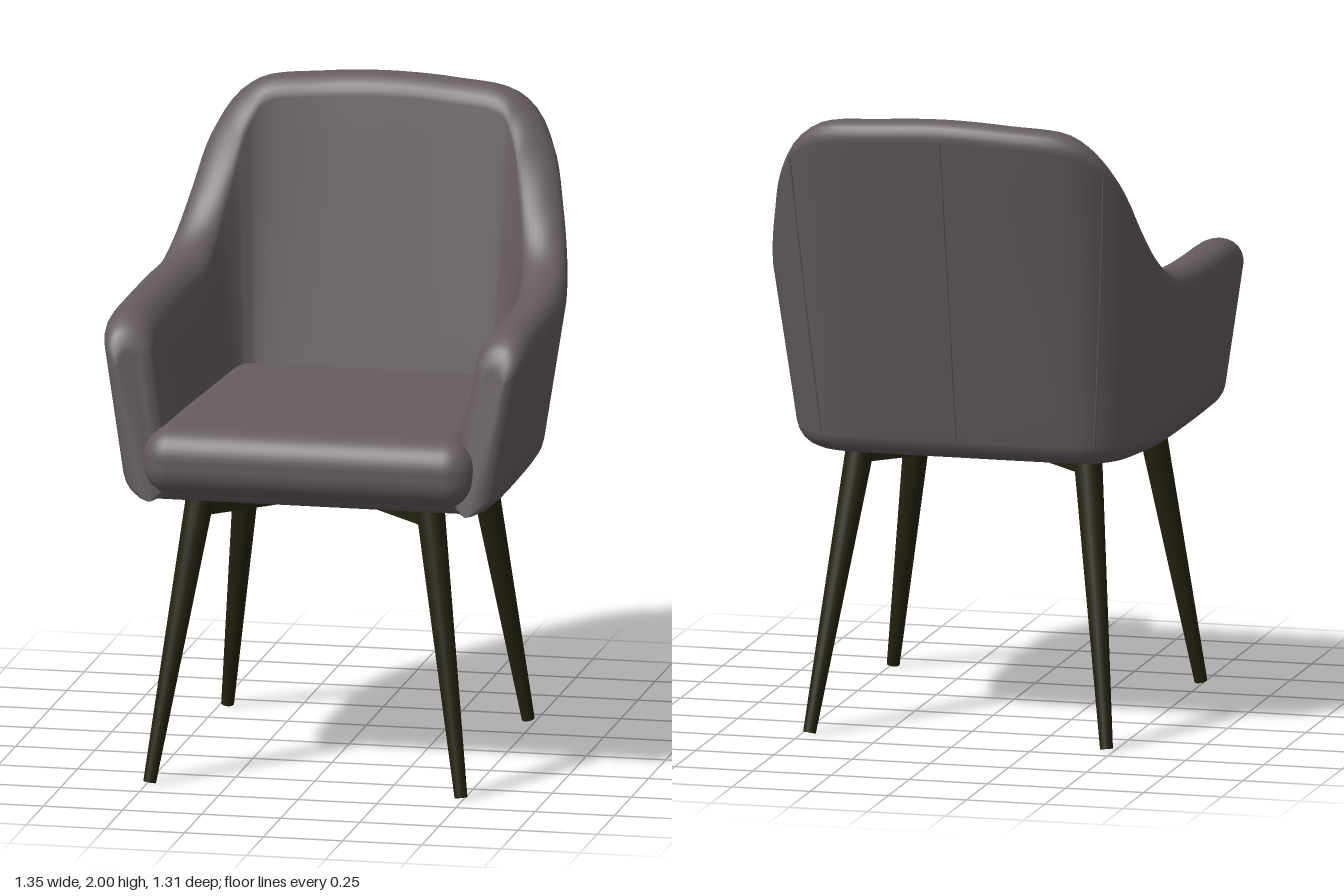
import * as THREE from 'three';
import { RoundedBoxGeometry } from 'three/addons/geometries/RoundedBoxGeometry.js';

const fabric = new THREE.MeshStandardMaterial({ color: 0x655c5f });
fabric.name = 'warm grey fabric';
const legPaint = new THREE.MeshStandardMaterial({ color: 0x24230f });
legPaint.name = 'dark leg paint';

// Wrap-around shell, from the left arm front to the middle of the back:
// [bottom x, bottom z, top x, top y, top z, half thickness]
const half = [
  [0.500, 0.615, 0.585, 1.30, 0.565, 0.012],
  [0.502, 0.600, 0.590, 1.37, 0.550, 0.050],
  [0.506, 0.560, 0.597, 1.425, 0.510, 0.074],
  [0.510, 0.460, 0.605, 1.455, 0.420, 0.080],
  [0.510, 0.200, 0.605, 1.46, 0.200, 0.080],
  [0.505, -0.05, 0.598, 1.467, -0.05, 0.078],
  [0.490, -0.18, 0.580, 1.485, -0.20, 0.075],
  [0.475, -0.26, 0.560, 1.56, -0.31, 0.070],
  [0.455, -0.31, 0.530, 1.69, -0.40, 0.068],
  [0.420, -0.345, 0.485, 1.86, -0.49, 0.066],
  [0.360, -0.365, 0.400, 1.965, -0.56, 0.064],
  [0.200, -0.37, 0.210, 1.99, -0.588, 0.064],
  [0.000, -0.37, 0.000, 2.00, -0.592, 0.064],
];
const stations = [
  ...half,
  ...half.slice(0, -1).reverse().map(([bx, bz, tx, ...rest]) => [-bx, bz, -tx, ...rest]),
];
const spline = (pick) => new THREE.CatmullRomCurve3(
  stations.map((s) => new THREE.Vector3(...pick(s))), false, 'catmullrom', 0.5);
const bottomPath = spline(([bx, bz, , , , h]) => [bx, h, bz]); // y carries the half thickness
const topPath = spline(([, , tx, ty, tz]) => [tx, ty, tz]);
const BOTTOM = 0.89;

// Point on the shell: w across the thickness, s up the rounded edge, k from low to high
function shellPoint(t, w, s, k) {
  const b = bottomPath.getPoint(t), top = topPath.getPoint(t), h = b.y;
  const y = THREE.MathUtils.lerp(BOTTOM + h, top.y - h, k) + h * s;
  const u = (y - BOTTOM) / (top.y - BOTTOM);
  const e = 0.008, t0 = Math.max(0, t - e), t1 = Math.min(1, t + e);
  const d = bottomPath.getPoint(t1).sub(bottomPath.getPoint(t0))
    .lerp(topPath.getPoint(t1).sub(topPath.getPoint(t0)), u).setY(0).normalize();
  const p = b.clone().lerp(top, u);
  return new THREE.Vector3(p.x - d.z * w * h, y, p.z + d.x * w * h);
}

function shellGeometry() {
  // Section loop: outer side up, over the top, inner side down, under the bottom
  const section = [];
  const arc = (from, to, n, k) => {
    for (let i = 0; i <= n; i++) {
      const a = THREE.MathUtils.degToRad(from + (to - from) * i / n);
      section.push([Math.cos(a), Math.sin(a), k]);
    }
  };
  arc(-90, 0, 5, 0);
  for (let i = 1; i < 7; i++) section.push([1, 0, i / 7]);
  arc(0, 180, 12, 1);
  for (let i = 6; i > 0; i--) section.push([-1, 0, i / 7]);
  arc(180, 252, 4, 0);

  const rings = 120, n = section.length, pos = [], index = [];
  for (let i = 0; i <= rings; i++)
    for (const [w, s, k] of section) pos.push(...shellPoint(i / rings, w, s, k).toArray());
  for (let i = 0; i < rings; i++)
    for (let j = 0; j < n; j++) {
      const a = i * n + j, b = i * n + (j + 1) % n;
      index.push(a, a + n, b, b, a + n, b + n);
    }
  // Close both arm fronts
  for (const [ring, flip] of [[0, false], [rings, true]]) {
    const c = pos.length / 3;
    pos.push(...shellPoint(ring / rings, 0, 0, 0.5).toArray());
    for (let j = 0; j < n; j++) {
      const a = ring * n + j, b = ring * n + (j + 1) % n;
      index.push(c, flip ? b : a, flip ? a : b);
    }
  }
  const g = new THREE.BufferGeometry();
  g.setAttribute('position', new THREE.Float32BufferAttribute(pos, 3));
  g.setIndex(index);
  g.computeVertexNormals();
  return g;
}

// Rounded slab that narrows towards the back
function taperedSlab(frontHalf, backHalf, y0, y1, zBack, zFront, r) {
  const d = zFront - zBack;
  const g = new RoundedBoxGeometry(frontHalf * 2, y1 - y0, d, 6, r);
  const p = g.attributes.position;
  for (let i = 0; i < p.count; i++) {
    const f = p.getZ(i) / d + 0.5;
    p.setX(i, p.getX(i) * THREE.MathUtils.lerp(backHalf / frontHalf, 1, f));
  }
  g.translate(0, (y0 + y1) / 2, (zBack + zFront) / 2);
  return g;
}

// Align a y-axis mesh between two points
function between(mesh, a, b) {
  mesh.position.copy(a).add(b).multiplyScalar(0.5);
  mesh.quaternion.setFromUnitVectors(new THREE.Vector3(0, 1, 0), b.clone().sub(a).normalize());
  return mesh;
}

export function createModel() {
  const model = new THREE.Group();
  model.name = 'armchair';
  const add = (name, geometry, material) => {
    const mesh = new THREE.Mesh(geometry, material);
    mesh.name = name;
    model.add(mesh);
    return mesh;
  };

  // Upholstery
  add('backAndArms', shellGeometry(), fabric);
  add('seatBase', taperedSlab(0.54, 0.41, 0.885, 1.03, -0.38, 0.6, 0.06), fabric);
  add('seatCushion', taperedSlab(0.53, 0.45, 0.91, 1.125, -0.37, 0.66, 0.095), fabric);

  // Raised seams on the outside of the back
  for (const t of [9.4 / 24, 0.5, 14.6 / 24]) {
    const pts = [];
    for (let i = 0; i <= 10; i++) pts.push(shellPoint(t, 1, 0, i / 10));
    add('backSeam', new THREE.TubeGeometry(new THREE.CatmullRomCurve3(pts), 24, 0.004, 5), fabric);
  }

  // Splayed tapering legs
  for (const side of [1, -1])
    for (const [name, footX, footZ, topZ] of [['frontLeg', 0.492, 0.64, 0.49], ['backLeg', 0.475, -0.42, -0.22]]) {
      const foot = new THREE.Vector3(side * footX, 0.006, footZ);
      const top = new THREE.Vector3(side * 0.36, 0.91, topZ);
      between(add(name, new THREE.CylinderGeometry(0.045, 0.02, foot.distanceTo(top), 20), legPaint), foot, top);
    }

  // Crossed rails under the seat
  for (const side of [1, -1]) {
    const a = new THREE.Vector3(side * 0.36, 0.858, 0.49), b = new THREE.Vector3(-side * 0.36, 0.858, -0.22);
    const rail = add('crossRail', new THREE.BoxGeometry(0.05, 0.055, a.distanceTo(b)), legPaint);
    rail.position.copy(a).add(b).multiplyScalar(0.5);
    rail.rotation.y = Math.atan2(a.x - b.x, a.z - b.z);
  }
  return model;
}
